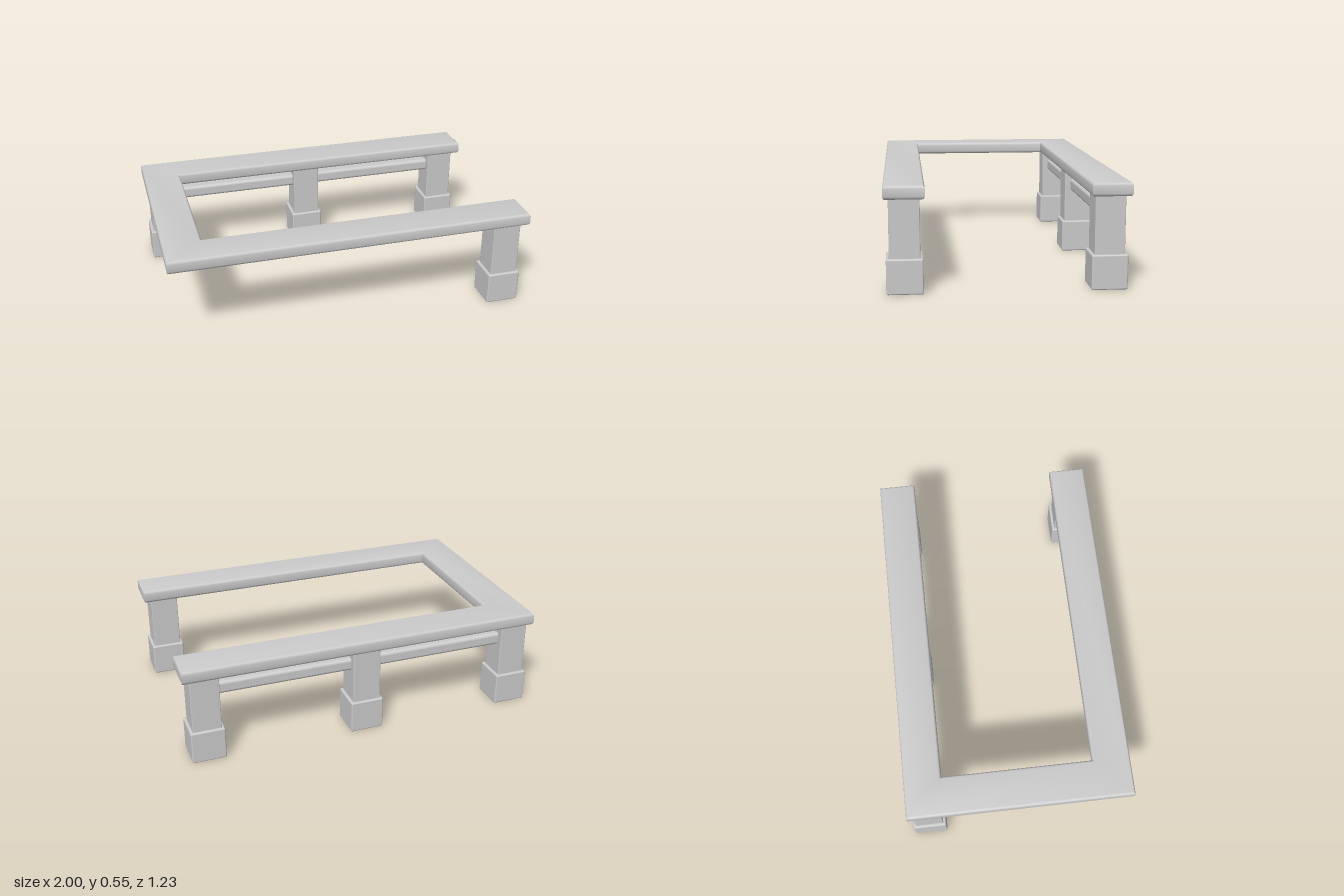
import * as THREE from 'three';
import { toCreasedNormals } from 'three/addons/utils/BufferGeometryUtils.js';
import { RoundedBoxGeometry } from 'three/addons/geometries/RoundedBoxGeometry.js';

const material = new THREE.MeshStandardMaterial({ color: 0xcccccc });

function addMesh(parent, name, geometry, x = 0, y = 0, z = 0) {
  const mesh = new THREE.Mesh(geometry, material);
  mesh.name = name;
  mesh.position.set(x, y, z);
  parent.add(mesh);
  return mesh;
}

// U-shaped top, open towards +x, with softened edges
function topFrameGeometry() {
  const bevel = 0.015, height = 0.07;
  const endX = 1 - bevel, outerZ = 0.615 - bevel;
  const innerX = -0.79 - bevel, innerZ = 0.41 + bevel;
  const shape = new THREE.Shape([
    [-endX, -outerZ], [endX, -outerZ], [endX, -innerZ], [innerX, -innerZ],
    [innerX, innerZ], [endX, innerZ], [endX, outerZ], [-endX, outerZ],
  ].map(([x, y]) => new THREE.Vector2(x, y)));
  const geometry = new THREE.ExtrudeGeometry(shape, {
    depth: height - 2 * bevel, bevelEnabled: true,
    bevelThickness: bevel, bevelSize: bevel, bevelSegments: 3,
  });
  geometry.rotateX(-Math.PI / 2);
  return toCreasedNormals(geometry, 0.7);
}

// Square post standing in a wider foot block
function createLeg(name, x, z) {
  const leg = new THREE.Group();
  leg.name = name;
  leg.position.set(x, 0, z);
  addMesh(leg, 'foot', new RoundedBoxGeometry(0.185, 0.18, 0.185, 2, 0.008), 0, 0.09, 0);
  addMesh(leg, 'post', new RoundedBoxGeometry(0.155, 0.36, 0.155, 2, 0.005), 0, 0.32, 0);
  return leg;
}

export function createModel() {
  const model = new THREE.Group();
  model.name = 'frameTable';

  addMesh(model, 'topFrame', topFrameGeometry(), 0, 0.495, 0);

  // Three legs along the back, one under the open end at the front
  const legZ = 0.512;
  const legXs = [-0.895, -0.007, 0.881];
  legXs.forEach((x, i) => model.add(createLeg(`backLeg${i + 1}`, x, -legZ)));
  model.add(createLeg('frontLeg', legXs[2], legZ));

  // Stretcher rails joining the back legs
  for (let i = 0; i < 2; i++) {
    const length = legXs[i + 1] - legXs[i] - 0.13;
    const middle = (legXs[i] + legXs[i + 1]) / 2;
    addMesh(model, `backRail${i + 1}`,
      new RoundedBoxGeometry(length, 0.07, 0.09, 3, 0.018), middle, 0.395, -legZ);
  }
  return model;
}
